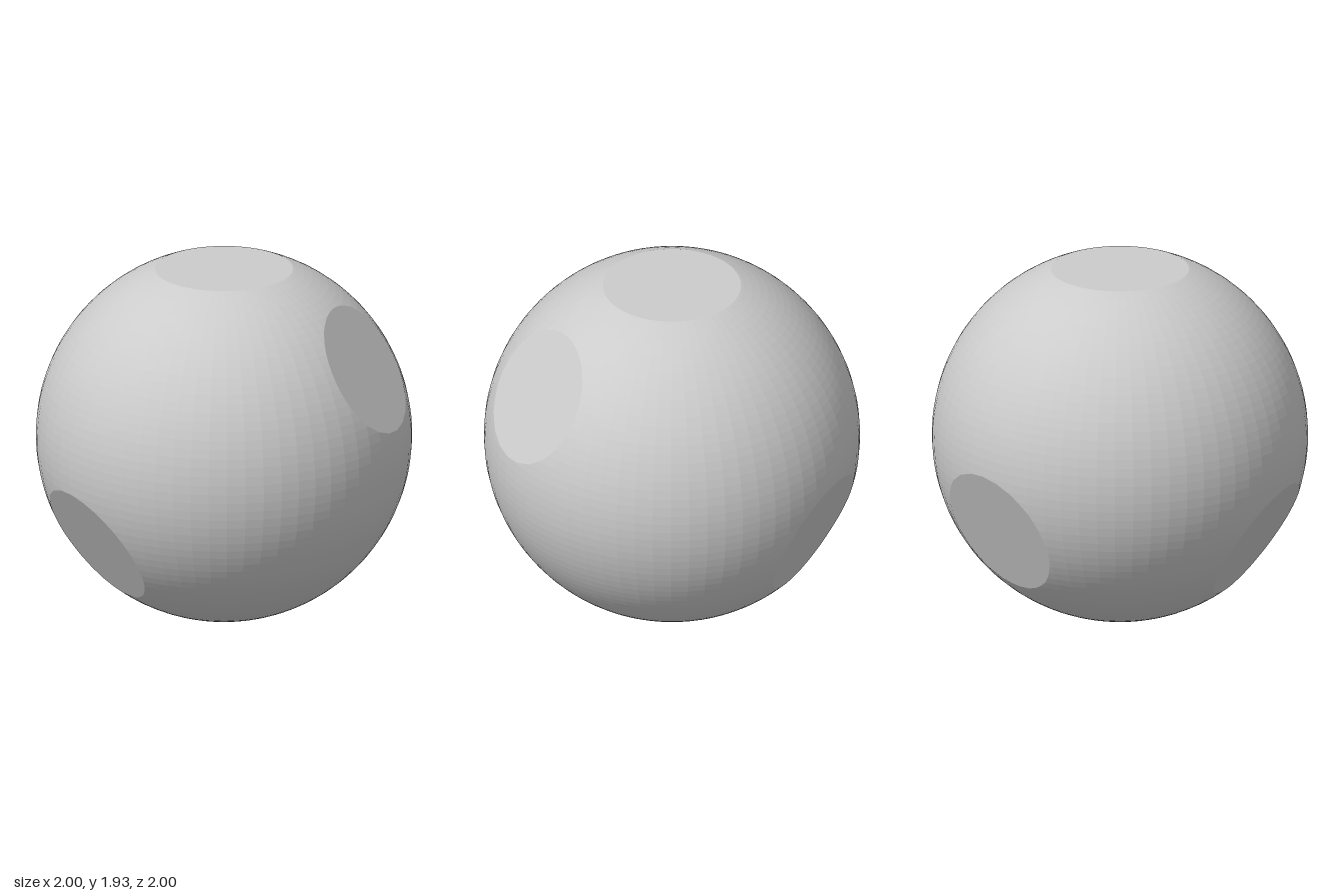
import * as THREE from 'three';

const RADIUS = 1;
const CUT_DISTANCE = 0.93; // distance from the ball's centre to every flat

// Outward direction of each flat
const FLATS = {
  topFlat: [0, 1, 0],
  leftFlat: [0.866, 0.5, 0],
  frontFlat: [-0.5, -0.5, 0.707],
  backFlat: [-0.5, -0.37, -0.784],
};

// Keep the part of a polygon inside the plane; also return its cut edge
function clip(polygon, normal) {
  const kept = [];
  let exit = null, entry = null;
  polygon.forEach((a, i) => {
    const b = polygon[(i + 1) % polygon.length];
    const da = a.dot(normal) - CUT_DISTANCE;
    const db = b.dot(normal) - CUT_DISTANCE;
    if (da <= 0) kept.push(a);
    if ((da <= 0) !== (db <= 0)) {
      const p = a.clone().lerp(b, da / (da - db));
      kept.push(p);
      if (da <= 0) exit = p;
      else entry = p;
    }
  });
  return { kept, exit, entry };
}

function meshFromTriangles(name, points, material) {
  const geometry = new THREE.BufferGeometry().setFromPoints(points);
  geometry.computeVertexNormals();
  const mesh = new THREE.Mesh(geometry, material);
  mesh.name = name;
  mesh.position.y = RADIUS;
  return mesh;
}

export function createModel() {
  const group = new THREE.Group();
  group.name = 'facetedBall';
  const material = new THREE.MeshStandardMaterial({ color: 0xcccccc, flatShading: true });

  // Triangles of the full ball
  const position = new THREE.SphereGeometry(RADIUS, 64, 64).toNonIndexed().attributes.position;
  let polygons = [];
  for (let i = 0; i < position.count; i += 3) {
    polygons.push([0, 1, 2].map((k) => new THREE.Vector3().fromBufferAttribute(position, i + k)));
  }

  // Slice off each flat and close it with a fan of triangles
  for (const [name, direction] of Object.entries(FLATS)) {
    const normal = new THREE.Vector3(...direction).normalize();
    const centre = normal.clone().multiplyScalar(CUT_DISTANCE);
    const cap = [];
    const remaining = [];
    for (const polygon of polygons) {
      const { kept, exit, entry } = clip(polygon, normal);
      if (kept.length > 2) remaining.push(kept);
      if (exit && entry) cap.push(centre, entry, exit);
    }
    polygons = remaining;
    group.add(meshFromTriangles(name, cap, material));
  }

  // Remaining ball surface
  const surface = [];
  for (const p of polygons) {
    for (let i = 1; i < p.length - 1; i++) surface.push(p[0], p[i], p[i + 1]);
  }
  group.add(meshFromTriangles('ballSurface', surface, material));
  return group;
}
